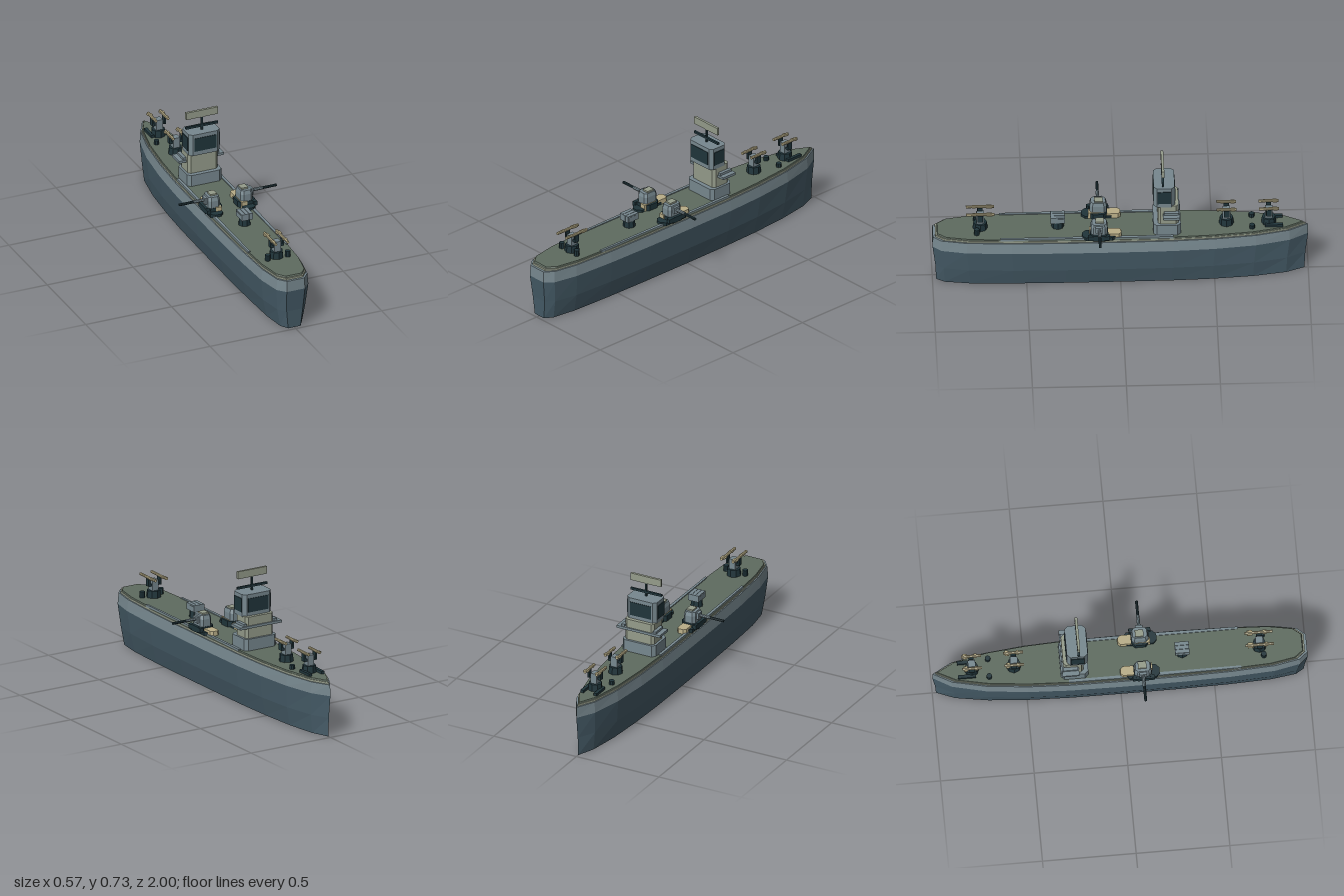
import * as THREE from 'three';

const mat = (name, color) => {
  const m = new THREE.MeshStandardMaterial({ color, flatShading: true });
  m.name = name;
  return m;
};

export function createModel() {
  const M = {
    lowerHull: mat('slate blue', 0x465c68),
    grey: mat('ship grey', 0x77888f),
    deck: mat('deck green', 0x5e6b5f),
    olive: mat('pale olive', 0x959c8b),
    dark: mat('dark teal', 0x20353b),
    tan: mat('tan', 0xb9ae88),
  };
  const ship = new THREE.Group();
  ship.name = 'warship';

  const add = (parent, name, geo, m, x = 0, y = 0, z = 0) => {
    const mesh = new THREE.Mesh(geo, m);
    mesh.name = name;
    mesh.position.set(x, y, z);
    parent.add(mesh);
    return mesh;
  };
  // box given by its limits
  const box = (parent, name, m, x0, x1, y0, y1, z0, z1) =>
    add(parent, name, new THREE.BoxGeometry(x1 - x0, y1 - y0, z1 - z0), m,
      (x0 + x1) / 2, (y0 + y1) / 2, (z0 + z1) / 2);
  const cyl = (parent, name, m, r0, r1, h, sides, x, y, z) =>
    add(parent, name, new THREE.CylinderGeometry(r1, r0, h, sides), m, x, y + h / 2, z);

  // stacks scaled copies of a closed [x, z] outline; levels are [y, scaleX, scaleZ]
  const loft = (outline, levels) => {
    const v = [], n = outline.length;
    const p = (l, i) => [outline[i % n][0] * l[1], l[0], outline[i % n][1] * l[2]];
    const lo = levels[0], hi = levels[levels.length - 1];
    for (let i = 0; i < n; i++) {
      for (let k = 0; k + 1 < levels.length; k++) {
        const a = p(levels[k], i), b = p(levels[k], i + 1);
        const c = p(levels[k + 1], i), d = p(levels[k + 1], i + 1);
        v.push(...a, ...c, ...b, ...b, ...c, ...d);
      }
      v.push(0, lo[0], 0, ...p(lo, i), ...p(lo, i + 1));
      v.push(0, hi[0], 0, ...p(hi, i + 1), ...p(hi, i));
    }
    const g = new THREE.BufferGeometry();
    g.setAttribute('position', new THREE.Float32BufferAttribute(v, 3));
    g.computeVertexNormals();
    return g;
  };
  // rectangle outline with cut corners
  const cut = (w, d, c) => [
    [-w + c, -d], [w - c, -d], [w, -d + c], [w, d - c],
    [w - c, d], [-w + c, d], [-w, d - c], [-w, -d + c],
  ];

  // Hull: pointed bow at -z, cut-off stern at +z
  const half = [[0.058, -0.9], [0.1, -0.72], [0.124, -0.5], [0.135, -0.28], [0.138, 0],
    [0.138, 0.3], [0.133, 0.58], [0.12, 0.82], [0.093, 0.955], [0.053, 1]];
  const plan = [[0, -1], ...half, ...half.map(([x, z]) => [-x, z]).reverse()];
  add(ship, 'lowerHull', loft(plan, [[0, 0.68, 0.98], [0.105, 0.88, 0.985], [0.23, 1, 1]]), M.lowerHull);
  add(ship, 'upperHull', loft(plan, [[0.23, 1, 1], [0.292, 0.945, 0.998]]), M.grey);
  add(ship, 'deckRim', loft(plan, [[0.29, 0.9, 0.985], [0.303, 0.9, 0.985]]), M.olive);
  add(ship, 'deck', loft(plan, [[0.3, 0.885, 0.978], [0.311, 0.87, 0.972]]), M.deck);
  for (const s of [-1, 1]) {
    const strip = [[0.104, -0.28], [0.119, -0.28], [0.121, 0.2], [0.116, 0.64], [0.104, 0.64]];
    const m = add(ship, 'sideWalkway', loft(strip.map(([x, z]) => [x - 0.112, z]),
      [[0.303, 1, 1], [0.316, 1, 1]]), M.grey, s * 0.112);
    m.scale.x = s;
  }

  // Bridge tower
  const bridge = new THREE.Group();
  bridge.name = 'bridge';
  ship.add(bridge);
  add(bridge, 'towerBase', loft(cut(0.1, 0.073, 0.018), [[0.305, 1, 1], [0.376, 1, 1]]), M.grey, 0, 0, -0.247);
  add(bridge, 'towerBody', loft(cut(0.087, 0.055, 0.014), [[0.37, 1, 1], [0.495, 1, 1]]), M.olive, 0, 0, -0.253);
  box(bridge, 'bridgeWings', M.grey, -0.131, 0.131, 0.433, 0.447, -0.315, -0.225);
  for (const s of [-1, 1]) {
    const r = box(bridge, 'wingRail', M.grey, 0.086, 0.105, 0.447, 0.46, -0.31, -0.23);
    r.position.x *= s;
  }
  add(bridge, 'cabin', loft(cut(0.09, 0.056, 0.018), [[0.49, 1, 1], [0.614, 1, 1]]), M.grey, 0, 0, -0.232);
  box(bridge, 'frontWindow', M.dark, -0.064, 0.064, 0.515, 0.592, -0.177, -0.173);
  box(bridge, 'rearWindow', M.dark, -0.064, 0.064, 0.515, 0.592, -0.291, -0.287);
  for (const s of [-1, 1]) {
    const w = box(bridge, 'sideWindow', M.dark, 0.089, 0.094, 0.515, 0.592, -0.268, -0.196);
    w.position.x *= s;
  }
  box(bridge, 'mast', M.dark, -0.005, 0.005, 0.61, 0.692, -0.23, -0.22);
  box(bridge, 'mastCrossbar', M.dark, -0.094, 0.094, 0.632, 0.644, -0.231, -0.219);
  box(bridge, 'radarPanel', M.olive, -0.092, 0.092, 0.69, 0.731, -0.232, -0.218);

  // Broadside turrets
  for (const s of [-1, 1]) {
    const t = new THREE.Group();
    t.name = s > 0 ? 'leftTurret' : 'rightTurret';
    t.position.set(s * 0.095, 0, 0.115);
    t.scale.x = s;
    ship.add(t);
    add(t, 'turretPlatform', loft(cut(0.036, 0.09, 0.02), [[0.305, 1, 1], [0.325, 1, 1]]), M.dark);
    add(t, 'turretRing', loft(cut(0.05, 0.048, 0.02), [[0.312, 1, 1], [0.345, 1, 1]]), M.dark);
    add(t, 'ammoHouse', loft(cut(0.029, 0.048, 0.014), [[0.305, 1, 1], [0.337, 0.9, 0.95]]), M.tan, -0.007, 0, -0.072);
    box(t, 'ammoStep', M.tan, -0.037, -0.004, 0.31, 0.348, -0.03, 0.053);
    add(t, 'turretHouse', loft(cut(0.035, 0.045, 0.014), [[0.343, 1, 1], [0.385, 1, 1], [0.406, 0.86, 0.86]]), M.grey);
    box(t, 'turretHatch', M.olive, -0.024, 0.014, 0.404, 0.415, -0.025, 0.02);
    box(t, 'gunMantlet', M.grey, 0.03, 0.046, 0.362, 0.398, -0.02, 0.02);
    for (const [name, m, r, x0, x1] of [['barrelSleeve', M.grey, 0.009, 0.04, 0.106], ['barrel', M.dark, 0.0075, 0.106, 0.188]]) {
      const b = cyl(t, name, m, r, r, x1 - x0, 8, 0, 0, 0);
      b.rotation.z = -Math.PI / 2;
      b.position.set((x0 + x1) / 2, 0.381, 0);
    }
    for (const z of [-0.04, 0.045]) box(t, 'sideLocker', M.dark, 0.03, 0.05, 0.318, 0.343, z - 0.016, z + 0.016);
  }

  // Box launcher amidships
  const launcher = new THREE.Group();
  launcher.name = 'boxLauncher';
  launcher.position.set(0, 0, 0.333);
  ship.add(launcher);
  cyl(launcher, 'launcherPedestal', M.dark, 0.034, 0.03, 0.045, 8, 0, 0.308, 0);
  for (const x of [-0.022, 0, 0.022])
    box(launcher, 'launchTube', M.grey, x - 0.01, x + 0.01, 0.35, 0.387, -0.038, 0.038);
  box(launcher, 'launcherBand', M.grey, -0.033, 0.033, 0.353, 0.38, -0.033, 0.033);

  // Twin missile mounts on deck: [z, rail length]
  for (const [z, len] of [[0.745, 0.15], [-0.565, 0.105], [-0.79, 0.105]]) {
    const g = new THREE.Group();
    g.name = 'twinMount';
    g.position.z = z;
    ship.add(g);
    cyl(g, 'mountBase', M.dark, 0.04, 0.036, 0.042, 8, 0, 0.308, 0);
    box(g, 'mountPost', M.grey, -0.019, 0.019, 0.348, 0.408, -0.02, 0.02);
    box(g, 'mountArm', M.dark, -0.032, 0.032, 0.375, 0.388, -0.012, 0.012);
    for (const x of [-0.035, 0.035]) {
      box(g, 'railSupport', M.dark, x - 0.005, x + 0.005, 0.375, 0.416, -0.014, 0.014);
      const m = cyl(g, 'missile', M.tan, 0.008, 0.008, len, 8, x, 0, 0);
      m.rotation.x = Math.PI / 2;
      m.position.y = 0.424;
      box(g, 'missileFins', M.tan, x - 0.015, x + 0.015, 0.422, 0.426, -len * 0.42, -len * 0.22);
      box(g, 'missileFins', M.tan, x - 0.012, x + 0.012, 0.422, 0.426, len * 0.15, len * 0.28);
    }
  }

  // Bollards and bow gear
  for (const s of [-1, 1]) {
    cyl(ship, 'bollard', M.dark, 0.015, 0.015, 0.024, 8, s * 0.05, 0.309, -0.7);
    cyl(ship, 'sternBollard', M.dark, 0.015, 0.015, 0.035, 8, s * 0.058, 0.309, 0.765);
    box(ship, 'bowLocker', M.dark, s * 0.04 - 0.009, s * 0.04 + 0.009, 0.308, 0.326, -0.865, -0.77);
  }
  return ship;
}
